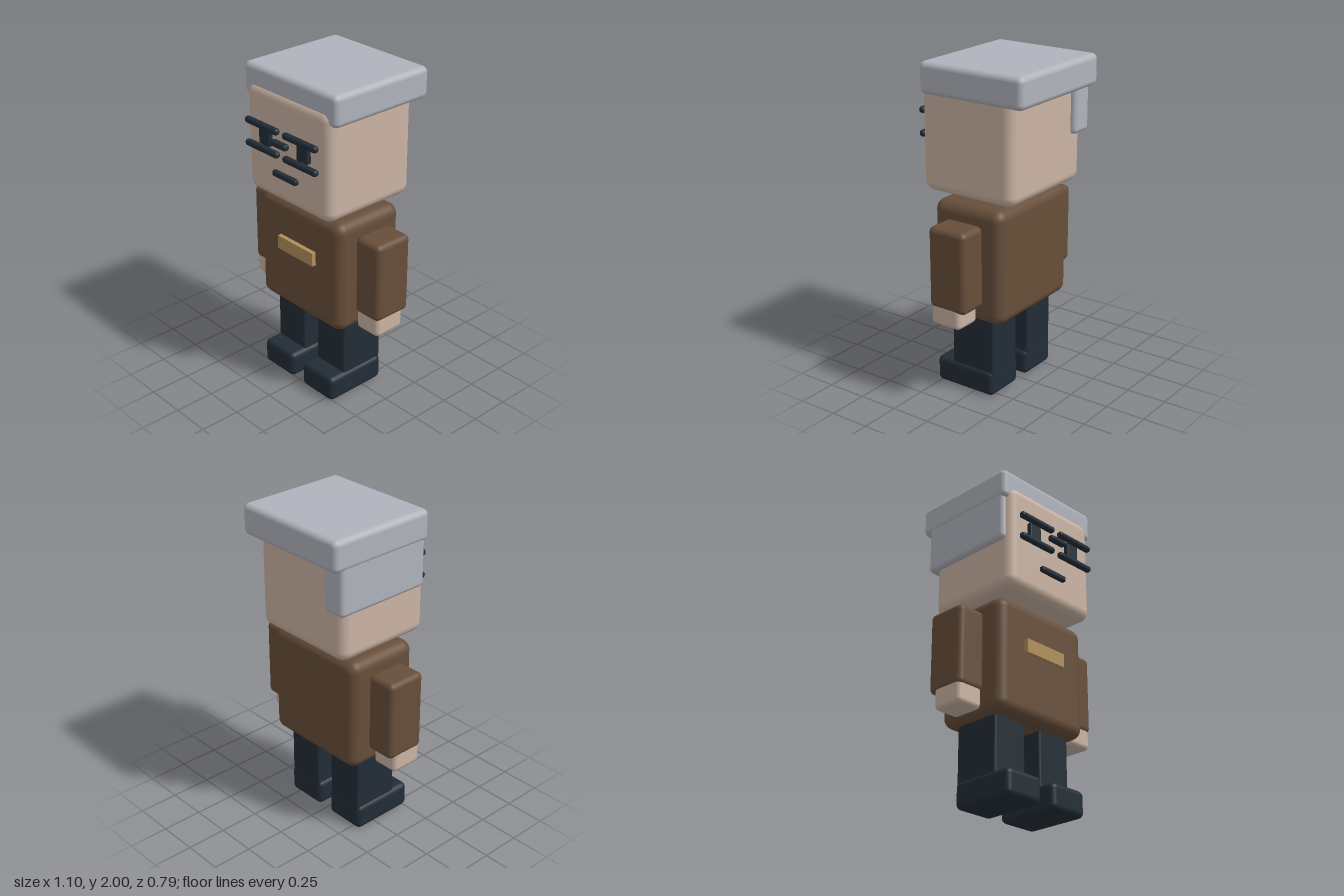
import * as THREE from 'three';
import { RoundedBoxGeometry } from 'three/addons/geometries/RoundedBoxGeometry.js';

const paint = (name, color) => {
  const material = new THREE.MeshStandardMaterial({ color });
  material.name = name;
  return material;
};

export function createModel() {
  const skin = paint('skin', 0xcab4a4);
  const brown = paint('brown cloth', 0x674e3a);
  const dark = paint('dark navy', 0x222d36);
  const grey = paint('grey hair', 0xb0b3bb);
  const gold = paint('gold', 0xb0905c);

  const model = new THREE.Group();
  model.name = 'blockFigure';

  // Rounded box between its lower and upper bounds on each axis; radius 0 keeps sharp edges
  const block = (parent, name, material, [x0, x1], [y0, y1], [z0, z1], radius) => {
    const size = [x1 - x0, y1 - y0, z1 - z0];
    const geometry = radius
      ? new RoundedBoxGeometry(...size, 4, radius)
      : new THREE.BoxGeometry(...size);
    const mesh = new THREE.Mesh(geometry, material);
    mesh.name = name;
    mesh.position.set((x0 + x1) / 2, (y0 + y1) / 2, (z0 + z1) / 2);
    parent.add(mesh);
  };

  const group = (name) => {
    const part = new THREE.Group();
    part.name = name;
    model.add(part);
    return part;
  };

  // Same block on both sides of the body
  const pair = (parent, name, material, [x0, x1], y, z, radius) => {
    block(parent, name + 'Left', material, [x0, x1], y, z, radius);
    block(parent, name + 'Right', material, [-x1, -x0], y, z, radius);
  };

  // Legs and shoes
  const legs = group('legs');
  pair(legs, 'leg', dark, [0.057, 0.298], [0.06, 0.56], [-0.14, 0.16], 0.015);
  pair(legs, 'shoe', dark, [0.042, 0.312], [0, 0.163], [-0.142, 0.273], 0.035);

  // Torso with chest badge
  const body = group('body');
  block(body, 'torso', brown, [-0.353, 0.353], [0.49, 1.195], [-0.233, 0.25], 0.065);
  block(body, 'badge', gold, [-0.153, 0.153], [0.88, 0.965], [0.22, 0.277], 0);

  // Arms and hands
  const arms = group('arms');
  pair(arms, 'sleeve', brown, [0.355, 0.548], [0.61, 1.107], [-0.122, 0.134], 0.035);
  pair(arms, 'hand', skin, [0.365, 0.542], [0.505, 0.68], [-0.08, 0.126], 0.03);

  // Head, top hair slab and the lock over the right side
  const head = group('head');
  block(head, 'skull', skin, [-0.353, 0.353], [1.23, 1.9], [-0.312, 0.328], 0.065);
  block(head, 'topHair', grey, [-0.386, 0.386], [1.812, 2], [-0.397, 0.31], 0.035);
  block(head, 'sideHair', grey, [-0.38, -0.23], [1.535, 1.9], [-0.345, 0.29], 0.03);

  // Face: glasses bars, bridge, eyes and mouth
  const face = group('face');
  pair(face, 'glassesTopBar', dark, [0.022, 0.3], [1.67, 1.71], [0.346, 0.386], 0.018);
  pair(face, 'glassesBottomBar', dark, [0.022, 0.3], [1.53, 1.57], [0.346, 0.386], 0.018);
  block(face, 'glassesBridge', dark, [-0.064, 0.064], [1.607, 1.645], [0.355, 0.396], 0.015);
  pair(face, 'eye', dark, [0.116, 0.206], [1.565, 1.68], [0.31, 0.356], 0.008);
  block(face, 'mouth', dark, [-0.1, 0.1], [1.398, 1.433], [0.315, 0.355], 0.01);

  return model;
}
